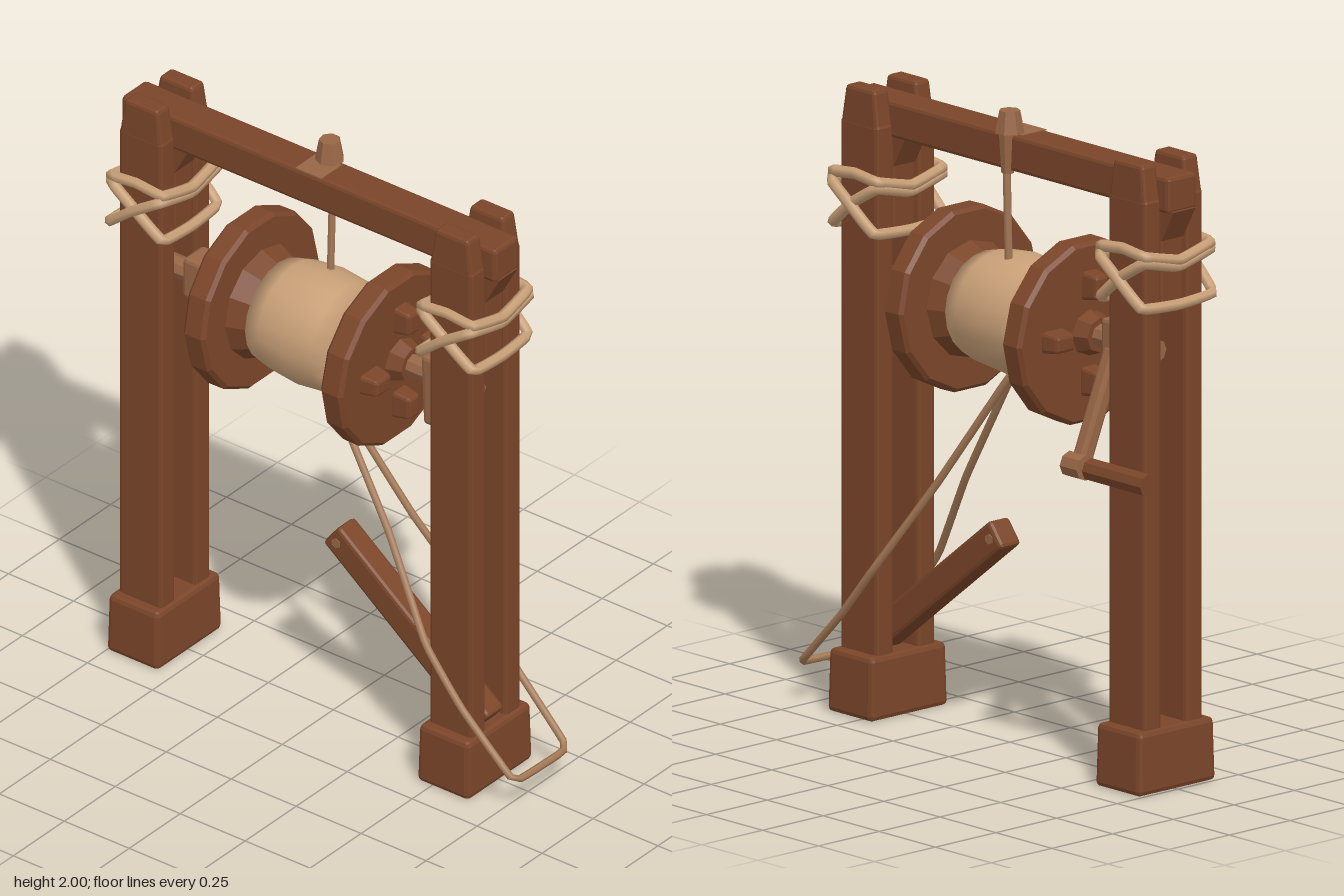
import * as THREE from 'three';
import { RoundedBoxGeometry } from 'three/addons/geometries/RoundedBoxGeometry.js';

const mat = (name, color, flatShading = false) => {
  const m = new THREE.MeshStandardMaterial({ color });
  m.name = name;
  m.flatShading = flatShading;
  return m;
};
const V = (x, y, z) => new THREE.Vector3(x, y, z);

export function createModel() {
  const root = new THREE.Group();
  root.name = 'winch';
  const wood = mat('dark wood', 0x7a4529, true);
  const pale = mat('worn wood', 0x976646, true);
  const rope = mat('rope', 0xc9a078);
  const cord = mat('dark cord', 0xa67a56);

  const add = (name, geo, m, x = 0, y = 0, z = 0, parent = root) => {
    const mesh = new THREE.Mesh(geo, m);
    mesh.name = name;
    mesh.position.set(x, y, z);
    parent.add(mesh);
    return mesh;
  };
  // Bevelled block whose upper end is scaled by tx, tz
  const block = (w, h, d, tx = 1, tz = 1, r = 0.012) => {
    const g = new RoundedBoxGeometry(w, h, d, 1, r);
    const p = g.attributes.position;
    for (let i = 0; i < p.count; i++) {
      const t = p.getY(i) / h + 0.5;
      p.setX(i, p.getX(i) * (1 + (tx - 1) * t));
      p.setZ(i, p.getZ(i) * (1 + (tz - 1) * t));
    }
    g.computeVertexNormals();
    return g;
  };
  // Disc or cone along x; r0 is the radius on the -x end
  const roller = (name, x0, x1, r0, r1, sides, m, y, z = 0) => {
    const g = new THREE.CylinderGeometry(r1, r0, x1 - x0, sides);
    g.rotateZ(-Math.PI / 2);
    return add(name, g, m, (x0 + x1) / 2, y, z);
  };
  // Timber running between two points
  const timber = (name, a, b, w, d, m) => {
    const mesh = add(name, block(w, a.distanceTo(b), d), m);
    mesh.position.copy(a).add(b).multiplyScalar(0.5);
    mesh.quaternion.setFromUnitVectors(V(0, 1, 0), b.clone().sub(a).normalize());
    return mesh;
  };
  const tube = (name, pts, r, m, closed = false, parent = root) => {
    const c = new THREE.CatmullRomCurve3(pts, closed, 'catmullrom', 0.15);
    return add(name, new THREE.TubeGeometry(c, pts.length * 6, r, 6, closed), m, 0, 0, 0, parent);
  };

  // Two double-post uprights with feet, corner brackets and lashings
  for (const s of [-1, 1]) {
    const cx = s < 0 ? -0.65 : 0.545;
    add('foot', block(0.2, 0.2, 0.32, 0.96, 0.97, 0.016), wood, cx, 0.1, 0);
    for (const z of [-0.085, 0.085]) {
      add('post', block(0.165, 1.68, 0.072), wood, cx, 1.02, z);
      add('postTop', block(0.165, 0.13, 0.072, 0.76, 0.85), wood, cx, 1.9, z);
    }
    add('spacer', block(0.15, 0.3, 0.1), wood, cx, 1.65, 0);

    // Triangular brackets under the beam
    const tri = new THREE.Shape();
    tri.moveTo(-0.13, 0);
    tri.lineTo(0.13, 0);
    tri.lineTo(0.075, -0.1);
    tri.lineTo(-0.075, -0.1);
    tri.closePath();
    const bracket = new THREE.ExtrudeGeometry(tri, { depth: 0.09, bevelEnabled: false });
    add('bracket', bracket, wood, cx, 1.82, -0.045);

    // Lashing: a crossing on both faces, joined by slack loops at the sides
    const lash = new THREE.Group();
    lash.name = 'lashing';
    lash.position.set(cx, 0, 0);
    root.add(lash);
    const hi = 1.69, lo = 1.53, w = 0.098, d = 0.135;
    const upper = [V(-w, hi, d), V(0, hi + 0.01, d + 0.003), V(w, hi, d), V(w + 0.008, hi - 0.03, 0),
      V(w, hi, -d), V(0, hi + 0.01, -d), V(-w, hi, -d), V(-w - 0.008, hi - 0.03, 0)];
    tube('upperBinding', upper, 0.018, rope, true, lash);
    const cross = [V(-w, hi - 0.02, d), V(0, 1.61, d + 0.012), V(w, lo, d), V(w + 0.006, lo - 0.01, 0),
      V(w, lo, -d), V(0, 1.61, -d - 0.012), V(-w, hi - 0.02, -d), V(-w - 0.006, hi - 0.05, 0)];
    tube('crossBinding', cross, 0.018, rope, true, lash);
    tube('crossBinding', cross.map(p => V(-p.x, p.y, p.z * 1.08)), 0.018, rope, true, lash);
  }

  // Cross beam with its peg
  add('crossBeam', block(1.44, 0.115, 0.12), wood, -0.05, 1.87, 0);
  add('beamPatch', new THREE.BoxGeometry(0.1, 0.004, 0.1), pale, -0.05, 1.928, 0.008);
  add('peg', new THREE.CylinderGeometry(0.033, 0.046, 0.07, 7), pale, -0.05, 1.965, -0.047);
  add('pegNeck', new THREE.CylinderGeometry(0.028, 0.02, 0.13, 7), pale, -0.05, 1.87, -0.055);

  // Drum: wound rope, tapered cheeks, flanges, spokes and hubs
  const Y = 1.355, mid = -0.05;
  const wound = [[0, -0.16], [0.165, -0.16], [0.18, -0.1], [0.19, 0], [0.18, 0.1], [0.165, 0.16], [0, 0.16]]
    .map(([r, h]) => new THREE.Vector2(r, h));
  const winding = add('woundRope', new THREE.LatheGeometry(wound, 20), rope, mid, Y, 0);
  winding.rotation.z = -Math.PI / 2;
  roller('axle', -0.66, 0.56, 0.036, 0.036, 8, pale, Y);
  for (const s of [-1, 1]) {
    const span = (name, a, b, ra, rb, sides, m) => s > 0
      ? roller(name, mid + a, mid + b, ra, rb, sides, m, Y)
      : roller(name, mid - b, mid - a, rb, ra, sides, m, Y);
    span('cheek', 0.13, 0.225, 0.145, 0.185, 12, wood);
    const f = new THREE.Group();
    f.name = 'flange';
    root.add(f);
    const rim = [[0, -0.042], [0.278, -0.042], [0.29, -0.03], [0.29, 0.03], [0.278, 0.042], [0, 0.042]]
      .map(([r, h]) => new THREE.Vector2(r, h));
    const disc = add('flangeDisc', new THREE.LatheGeometry(rim, 14), wood, mid + s * 0.264, Y, 0, f);
    disc.rotation.z = -Math.PI / 2 + s * -0.02;
    span('hub', 0.3, 0.355, 0.075, 0.055, 8, wood);
    for (let i = 0; i < 4; i++) {
      const a = i * Math.PI / 2;
      const spoke = add('spoke', block(0.095, 0.07, 0.07, 0.75, 0.75), wood,
        mid + s * 0.33, Y + Math.cos(a) * 0.15, Math.sin(a) * 0.15, f);
      spoke.rotation.set(a, 0, -s * Math.PI / 2, 'XYZ');
    }
  }

  // Crank on the right, bearing block on the left
  add('crankHub', block(0.085, 0.14, 0.1), pale, -0.5, Y + 0.005, 0);
  add('bearing', block(0.07, 0.24, 0.08, 1.3, 1), pale, 0.41, 1.31, 0);
  timber('crankArm', V(-0.495, 1.34, -0.025), V(-0.495, 0.98, -0.172), 0.05, 0.05, pale);
  roller('crankJoint', -0.53, -0.455, 0.04, 0.04, 8, pale, 0.995, -0.175);
  roller('crankSpindle', -0.56, -0.52, 0.02, 0.02, 8, pale, 0.995, -0.175);
  roller('crankHandle', -0.81, -0.55, 0.036, 0.036, 8, wood, 0.995, -0.175);

  // Slanted brace with its pin
  timber('brace', V(0.6, 0.2, 0), V(0.02, 0.655, 0), 0.095, 0.085, wood);
  const pin = add('bracePin', new THREE.CylinderGeometry(0.017, 0.017, 0.092, 6), pale, 0.045, 0.635, 0);
  pin.rotation.x = Math.PI / 2;

  // Hanging rope and the loop running around the left upright
  tube('hangingRope', [V(-0.045, 1.84, -0.055), V(-0.05, 1.51, -0.05)], 0.013, cord);
  tube('ropeLoop', [V(-0.02, 1.17, 0), V(0.03, 1.1, 0.012), V(0.26, 0.77, 0.06), V(0.46, 0.48, 0.133),
    V(0.6, 0.31, 0.138), V(0.78, 0.13, 0.128), V(0.8, 0.115, 0.1), V(0.805, 0.115, -0.1),
    V(0.78, 0.13, -0.132), V(0.6, 0.31, -0.138), V(0.46, 0.48, -0.133), V(0.26, 0.77, -0.06),
    V(0.03, 1.1, -0.012), V(-0.02, 1.17, 0)], 0.012, cord);
  return root;
}
